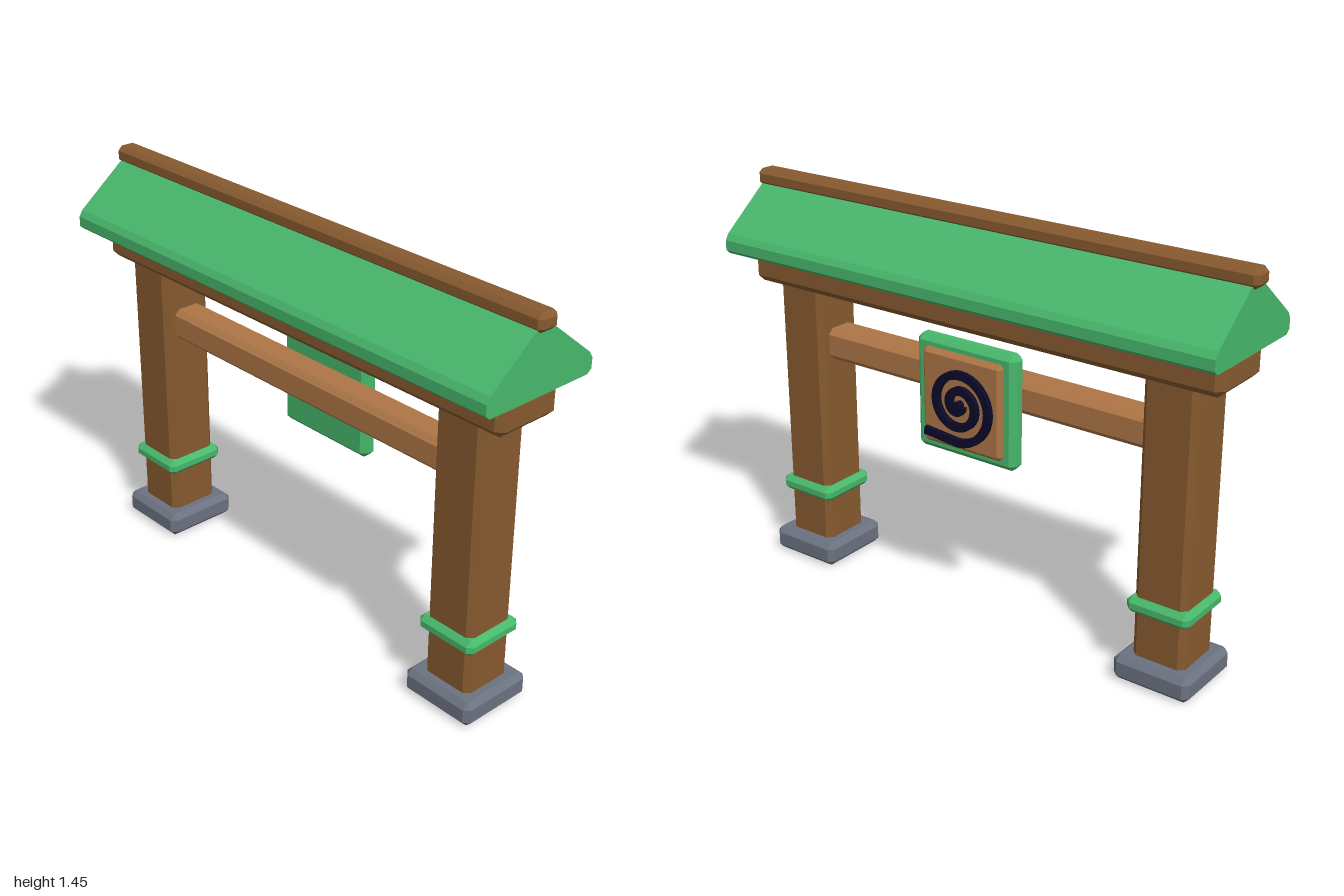
import * as THREE from 'three';
import { ConvexGeometry } from 'three/addons/geometries/ConvexGeometry.js';

const flat = (name, color) => Object.assign(new THREE.MeshStandardMaterial({ color }), { name });

// Box with every edge bevelled by c, given by its centre and size
function bevelBox(w, h, d, c) {
  const pts = [];
  for (const sx of [-1, 1]) for (const sy of [-1, 1]) for (const sz of [-1, 1]) {
    const [x, y, z] = [w / 2, h / 2, d / 2];
    pts.push(new THREE.Vector3(sx * x, sy * (y - c), sz * (z - c)));
    pts.push(new THREE.Vector3(sx * (x - c), sy * y, sz * (z - c)));
    pts.push(new THREE.Vector3(sx * (x - c), sy * (y - c), sz * z));
  }
  return new ConvexGeometry(pts);
}

export function createModel() {
  const wood = flat('wood', 0x875a2f);
  const paleWood = flat('paleWood', 0xae7646);
  const green = flat('green', 0x48b86c);
  const stone = flat('stone', 0x6b7280);
  const ink = flat('ink', 0x0b0a2a);

  const gate = new THREE.Group();
  gate.name = 'gate';
  const add = (parent, name, geometry, material, x = 0, y = 0, z = 0) => {
    const mesh = new THREE.Mesh(geometry, material);
    mesh.name = name;
    mesh.position.set(x, y, z);
    parent.add(mesh);
    return mesh;
  };

  // Two posts with stone feet and green collars
  for (const [side, s] of [['left', 1], ['right', -1]]) {
    const post = new THREE.Group();
    post.name = side + 'Post';
    post.position.x = s * 0.762;
    add(post, 'foot', bevelBox(0.286, 0.09, 0.286, 0.02), stone, 0, 0.045);
    add(post, 'shaft', bevelBox(0.195, 1.03, 0.195, 0.02), wood, 0, 0.575);
    add(post, 'collar', bevelBox(0.234, 0.058, 0.234, 0.018), green, 0, 0.277);
    gate.add(post);
  }

  // Crossbeams
  add(gate, 'lintel', bevelBox(1.906, 0.118, 0.256, 0.025), wood, 0, 1.12);
  add(gate, 'rail', bevelBox(1.36, 0.116, 0.12, 0.02), paleWood, 0, 0.858);

  // Gabled roof, extruded along x
  const half = [[0.212, 1.178], [0.228, 1.192], [0.228, 1.228], [0.214, 1.25], [0.03, 1.397]];
  const outline = [...half, ...half.slice().reverse().map(([z, y]) => [-z, y])];
  const roof = new THREE.ExtrudeGeometry(
    new THREE.Shape(outline.map(([z, y]) => new THREE.Vector2(z, y))),
    { depth: 1.96, bevelEnabled: false });
  roof.translate(0, 0, -0.98).rotateY(Math.PI / 2);
  add(gate, 'roof', roof, green);
  add(gate, 'ridgeBeam', bevelBox(2, 0.062, 0.08, 0.016), wood, 0, 1.415);

  // Plaque hung on the back of the rail
  const plaque = new THREE.Group();
  plaque.name = 'plaque';
  plaque.position.y = 0.82;
  add(plaque, 'plaqueFrame', bevelBox(0.41, 0.41, 0.065, 0.02), green, 0, 0, -0.0925);
  add(plaque, 'plaquePanel', bevelBox(0.33, 0.34, 0.04, 0.015), paleWood, 0, 0, -0.125);

  // Scroll ornament: a ribbon that runs in along the bottom and winds to the middle
  const path = [new THREE.Vector2(0.142, -0.122)];
  const turns = 2.2, steps = 72;
  for (let i = 0; i <= steps; i++) {
    const t = i / steps, a = -Math.PI / 2 - t * turns * Math.PI * 2, r = 0.135 - 0.122 * t;
    path.push(new THREE.Vector2(r * Math.cos(a), r * Math.sin(a)));
  }
  const edge = (offset) => path.map((p, i) => {
    const a = path[Math.max(i - 1, 0)], b = path[Math.min(i + 1, path.length - 1)];
    const dir = b.clone().sub(a).normalize();
    return new THREE.Vector2(p.x - dir.y * offset, p.y + dir.x * offset);
  });
  const scroll = new THREE.ExtrudeGeometry(
    new THREE.Shape([...edge(0.014), ...edge(-0.014).reverse()]),
    { depth: 0.02, bevelEnabled: false });
  add(plaque, 'scroll', scroll, ink, 0, 0, -0.163);
  const dot = new THREE.CylinderGeometry(0.016, 0.016, 0.026, 10).rotateX(Math.PI / 2);
  add(plaque, 'scrollCentre', dot, ink, 0, 0, -0.156);
  gate.add(plaque);

  return gate;
}
